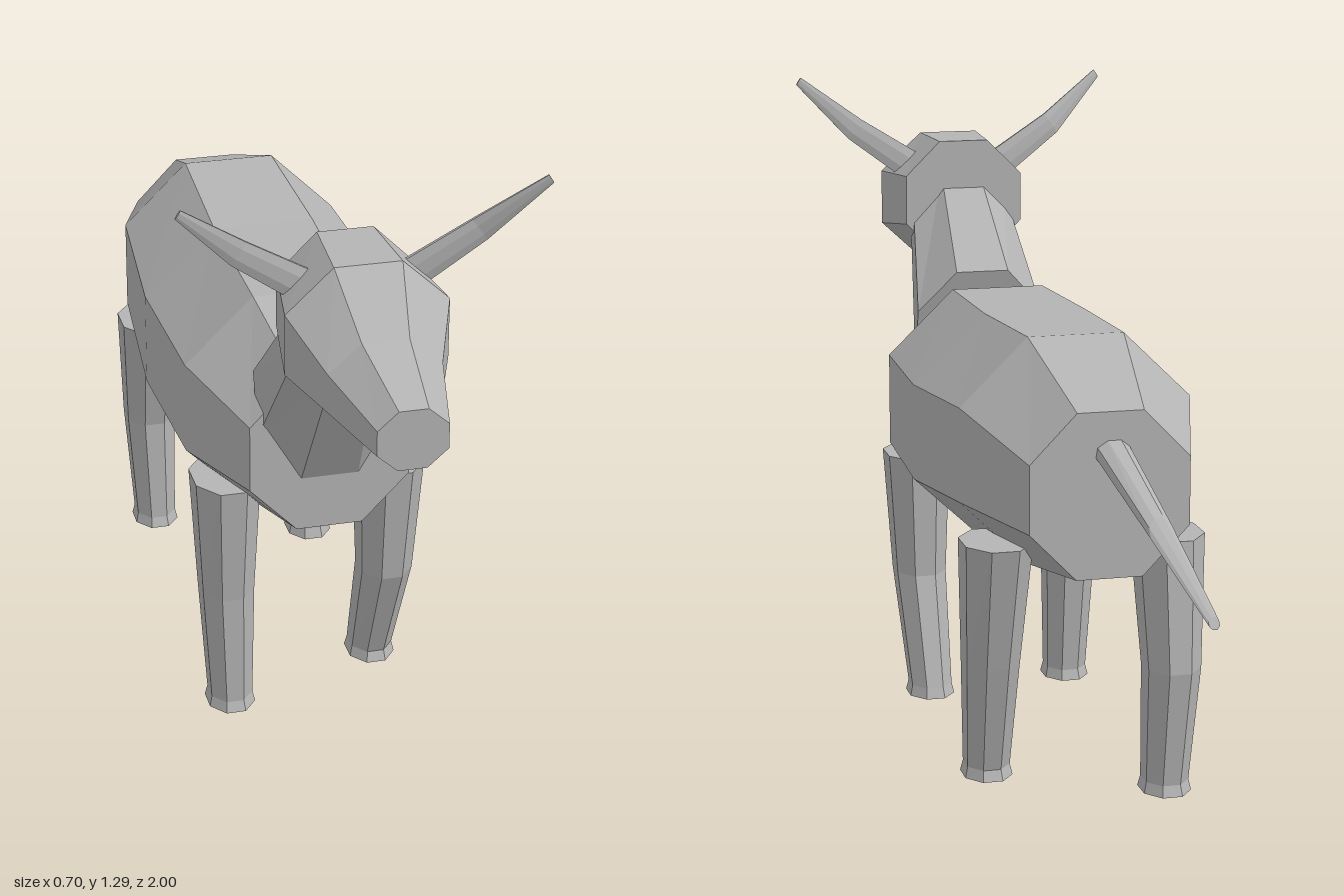
import * as THREE from 'three';

const SIDES = 8;

// Flat-shaded octagonal skin through sections [centre, half-axis U, half-axis V]
function loft(name, material, sections) {
  const rings = sections.map(([c, u, v]) => {
    const C = new THREE.Vector3(...c), U = new THREE.Vector3(...u), V = new THREE.Vector3(...v);
    const k = 1 / Math.cos(Math.PI / SIDES);
    return Array.from({ length: SIDES }, (_, i) => {
      const a = (i + 0.5) * 2 * Math.PI / SIDES;
      return C.clone().addScaledVector(U, k * Math.cos(a)).addScaledVector(V, k * Math.sin(a));
    });
  });
  // Keep the winding outward whichever way the axes turn
  const [c0, u0, v0] = sections[0].map(p => new THREE.Vector3(...p));
  const along = new THREE.Vector3(...sections[1][0]).sub(c0);
  if (u0.cross(v0).dot(along) < 0) rings.forEach(r => r.reverse());

  const points = [];
  const tri = (a, b, c) => points.push(a, b, c);
  for (let s = 0; s < rings.length - 1; s++) {
    const a = rings[s], b = rings[s + 1];
    for (let i = 0; i < SIDES; i++) {
      const j = (i + 1) % SIDES;
      tri(a[i], a[j], b[j]);
      tri(a[i], b[j], b[i]);
    }
  }
  const first = rings[0], last = rings[rings.length - 1];
  for (let i = 1; i < SIDES - 1; i++) {
    tri(first[0], first[i + 1], first[i]);
    tri(last[0], last[i], last[i + 1]);
  }
  const geometry = new THREE.BufferGeometry().setFromPoints(points);
  geometry.computeVertexNormals();
  const mesh = new THREE.Mesh(geometry, material);
  mesh.name = name;
  return mesh;
}

// Upright section at z, given half width, bottom and top
const upright = ([z, w, low, high]) => [[0, (low + high) / 2, z], [w, 0, 0], [0, (high - low) / 2, 0]];
// Level section, given centre and half sizes in x and z
const level = (x, y, z, w, d) => [[x, y, z], [w, 0, 0], [0, 0, d]];

export function createModel() {
  const model = new THREE.Group();
  model.name = 'hornedAnimal';
  const grey = new THREE.MeshStandardMaterial({ color: 0xb4b4b4, flatShading: true });
  grey.name = 'grey';

  // Barrel body
  model.add(loft('body', grey, [
    [-0.67, 0.155, 0.5, 0.82],
    [-0.42, 0.23, 0.465, 0.915],
    [-0.1, 0.252, 0.425, 0.9],
    [0.22, 0.237, 0.43, 0.89],
    [0.45, 0.16, 0.488, 0.82],
  ].map(upright)));

  // Neck
  model.add(loft('neck', grey, [
    [[0, 0.75, 0.405], [0.138, 0, 0], [0, 0.15, -0.045]],
    [[0, 1.0, 0.6], [0.105, 0, 0], [0, 0.083, -0.03]],
  ]));

  // Head tapering to the muzzle
  model.add(loft('head', grey, [
    [0.54, 0.13, 0.905, 1.162],
    [0.7, 0.154, 0.875, 1.162],
    [0.82, 0.106, 0.885, 1.066],
    [1.0, 0.065, 0.905, 1.02],
  ].map(upright)));

  // Thin curved horns
  for (const s of [1, -1]) {
    model.add(loft(s > 0 ? 'leftHorn' : 'rightHorn', grey, [
      [[s * 0.09, 1.09, 0.622], [s * -0.018, 0.028, 0], [0, 0, 0.009]],
      [[s * 0.225, 1.182, 0.642], [s * -0.015, 0.021, 0], [0, 0, 0.007]],
      [[s * 0.343, 1.287, 0.685], [s * -0.005, 0.008, 0], [0, 0, 0.003]],
    ]));
  }

  // Tail swept to one side
  model.add(loft('tail', grey, [
    [[0, 0.755, -0.65], [0.032, 0, 0], [0, 0.033, 0.015]],
    [[-0.045, 0.635, -0.85], [0.022, 0, 0], [0, 0.022, 0.015]],
    [[-0.1, 0.503, -0.994], [0.01, 0, 0], [0, 0.01, 0.006]],
  ]));

  // Legs: side, ground height, then z of hip, knee and foot
  const legs = [
    ['frontLeftLeg', 1, 0.015, 0.27, 0.258, 0.177],
    ['frontRightLeg', -1, 0, 0.27, 0.265, 0.272],
    ['hindLeftLeg', 1, 0.018, -0.465, -0.41, -0.352],
    ['hindRightLeg', -1, 0.01, -0.475, -0.52, -0.5],
  ];
  for (const [name, s, ground, hip, knee, foot] of legs) {
    model.add(loft(name, grey, [
      level(s * 0.17, 0.53, hip, 0.066, 0.087),
      level(s * 0.168, 0.27, knee, 0.053, 0.066),
      level(s * 0.163, ground + 0.022, foot, 0.043, 0.052),
      level(s * 0.163, ground, foot, 0.048, 0.06),
    ]));
  }
  return model;
}
